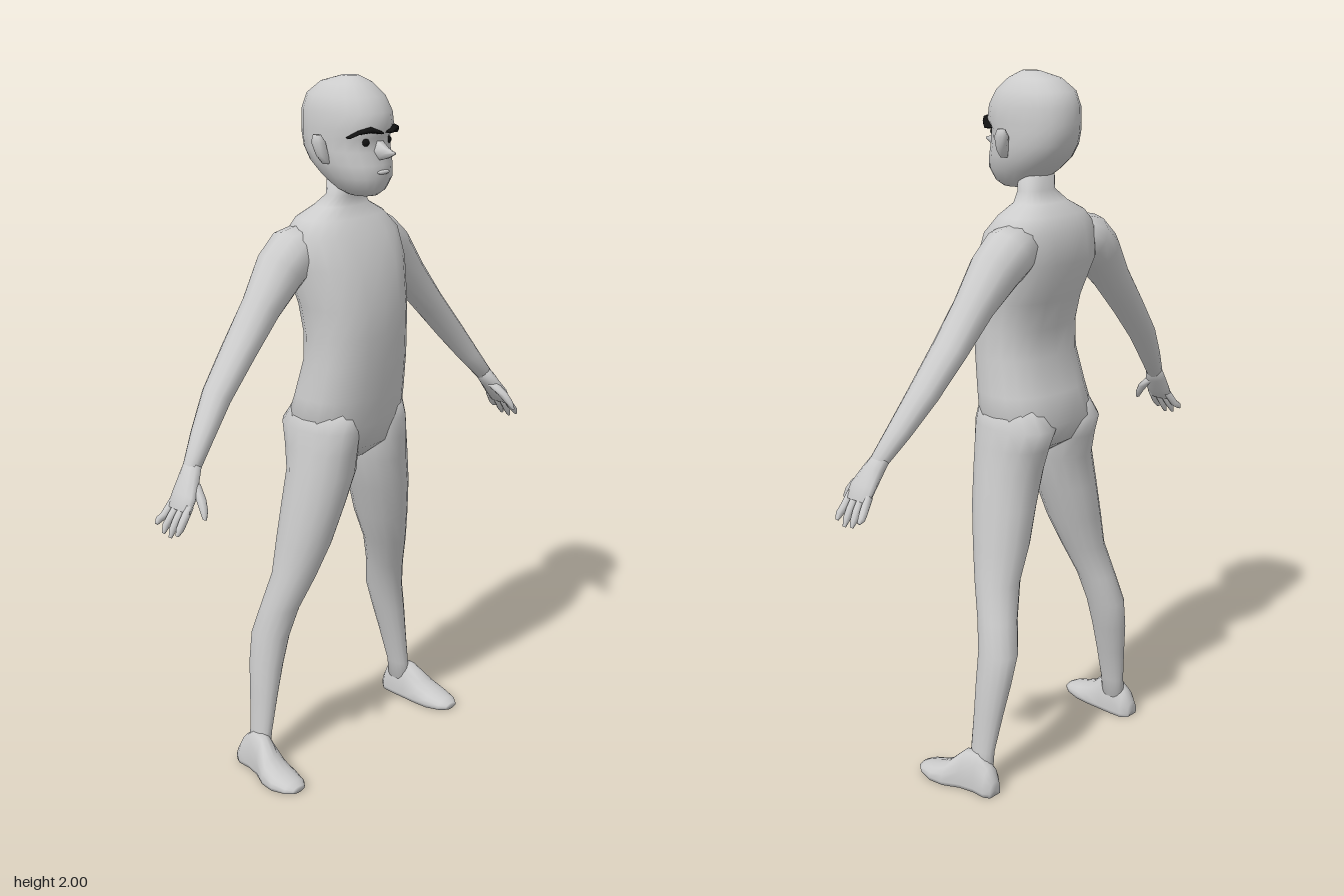
import * as THREE from 'three';

const V = (x, y, z) => new THREE.Vector3(x, y, z);
const skin = new THREE.MeshStandardMaterial({ color: 0xcccccc });
const black = new THREE.MeshStandardMaterial({ color: 0x111111 });

// Closed ring around c with half axes u and v; p > 2 makes it squarer
function ring(c, u, v, n = 16, p = 2) {
  return Array.from({ length: n }, (_, k) => {
    const a = (k / n) * Math.PI * 2, co = Math.cos(a), si = Math.sin(a);
    const f = t => Math.sign(t) * Math.pow(Math.abs(t), 2 / p);
    return c.clone().addScaledVector(u, f(co)).addScaledVector(v, f(si));
  });
}

// Horizontal ring from centre x, half width and front/back z
const level = (y, cx, hw, zf, zb, p = 2, n = 16) =>
  ring(V(cx, y, (zf + zb) / 2), V(hw, 0, 0), V(0, 0, (zf - zb) / 2), n, p);

// Skin a list of rings, capped at both ends, always facing outwards
function loft(rings) {
  const n = rings[0].length, pts = rings.flat(), idx = [];
  for (let i = 0; i < rings.length - 1; i++)
    for (let k = 0; k < n; k++) {
      const a = i * n + k, b = i * n + (k + 1) % n;
      idx.push(a, a + n, b, b, a + n, b + n);
    }
  [0, rings.length - 1].forEach(r => {
    const mid = rings[r].reduce((s, q) => s.add(q), V(0, 0, 0)).divideScalar(n);
    const m = pts.push(mid) - 1;
    for (let k = 0; k < n; k++) {
      const a = r * n + k, b = r * n + (k + 1) % n;
      r ? idx.push(m, b, a) : idx.push(m, a, b);
    }
  });
  let vol = 0;
  for (let i = 0; i < idx.length; i += 3)
    vol += pts[idx[i]].clone().sub(pts[0]).dot(
      pts[idx[i + 1]].clone().sub(pts[0]).cross(pts[idx[i + 2]].clone().sub(pts[0])));
  if (vol < 0) idx.reverse();
  const g = new THREE.BufferGeometry().setFromPoints(pts);
  g.setIndex(idx);
  g.computeVertexNormals();
  return g;
}

// Round limb through stations [x, y, z, radius in the xy plane, radius in z]
function limb(st, n = 12) {
  return loft(st.map(([x, y, z, r, rz], i) => {
    const a = st[Math.max(i - 1, 0)], b = st[Math.min(i + 1, st.length - 1)];
    const d = V(b[0] - a[0], b[1] - a[1], 0).normalize();
    return ring(V(x, y, z), V(-d.y * r, d.x * r, 0), V(0, 0, rz), n);
  }));
}

function mirrored(geo) {
  const g = geo.clone().scale(-1, 1, 1);
  g.setIndex(Array.from(g.index.array).reverse());
  g.computeVertexNormals();
  return g;
}

export function createModel() {
  const model = new THREE.Group();
  const add = (name, geo, mat = skin) => {
    const m = new THREE.Mesh(geo, mat);
    m.name = name;
    model.add(m);
  };
  const pair = (name, geo, mat) => {
    add('left ' + name, geo, mat);
    add('right ' + name, mirrored(geo), mat);
  };

  // Torso and neck: y, half width, front z, back z
  add('torso', loft([
    [0.935, 0.03, 0.035, -0.05], [0.98, 0.13, 0.085, -0.12], [1.05, 0.175, 0.105, -0.16],
    [1.13, 0.168, 0.115, -0.13], [1.23, 0.158, 0.127, -0.1], [1.31, 0.156, 0.13, -0.1],
    [1.39, 0.16, 0.13, -0.12], [1.5, 0.178, 0.11, -0.163], [1.58, 0.18, 0.07, -0.15],
    [1.625, 0.14, 0.04, -0.13], [1.655, 0.085, 0.015, -0.095], [1.685, 0.058, 0.015, -0.065],
    [1.74, 0.055, 0.02, -0.065],
  ].map(([y, w, f, b]) => level(y, 0, w, f, b, 2.4, 20))));

  // Head: chin, face with recessed eye line, brow, crown
  add('head', loft([
    [1.69, 0.035, 0.085, 0], [1.705, 0.058, 0.105, -0.035], [1.74, 0.082, 0.122, -0.085],
    [1.775, 0.094, 0.117, -0.125], [1.81, 0.1, 0.108, -0.145], [1.845, 0.1, 0.106, -0.153],
    [1.868, 0.101, 0.122, -0.155], [1.91, 0.1, 0.115, -0.153], [1.95, 0.088, 0.092, -0.138],
    [1.982, 0.06, 0.055, -0.095], [2, 0.02, 0.02, -0.03],
  ].map(([y, w, f, b]) => level(y, 0, w, f, b, 2.2, 20))));

  // Pointed nose and small mouth
  add('nose', loft([
    ring(V(0, 1.815, 0.095), V(0.025, 0, 0), V(0, 0.034, 0), 6),
    ring(V(0, 1.807, 0.13), V(0.014, 0, 0), V(0, 0.016, 0), 6),
    ring(V(0, 1.81, 0.16), V(0.003, 0, 0), V(0, 0.003, 0), 6),
  ]));
  add('mouth', new THREE.SphereGeometry(1, 10, 6).scale(0.024, 0.006, 0.008).translate(0, 1.757, 0.118));

  // Eyes, brows and ears
  pair('eye', new THREE.SphereGeometry(0.011, 10, 8).translate(0.042, 1.836, 0.092), black);
  pair('eyebrow', loft([
    [0.014, 1.862, 0.124, 0.004], [0.045, 1.871, 0.114, 0.008],
    [0.07, 1.864, 0.094, 0.006], [0.087, 1.85, 0.072, 0.002],
  ].map(([x, y, z, h]) => ring(V(x, y, z), V(0, h, 0), V(0.004, 0, 0.012), 6))));
  model.children.filter(m => m.name.endsWith('eyebrow')).forEach(m => { m.material = black; });
  pair('ear', loft([
    [1.778, 0.1, 0.01, 0.012, -0.008], [1.8, 0.11, 0.018, 0.014, -0.016],
    [1.835, 0.119, 0.017, 0.015, -0.028], [1.855, 0.122, 0.008, 0.005, -0.022],
  ].map(([y, cx, w, f, b]) => level(y, cx, w, f, b, 2, 8))));

  // Arms, from inside the shoulder to the wrist
  pair('arm', limb([
    [0.1, 1.565, -0.06, 0.055, 0.07], [0.16, 1.535, -0.066, 0.075, 0.077],
    [0.212, 1.495, -0.065, 0.07, 0.073], [0.288, 1.408, -0.058, 0.053, 0.058],
    [0.378, 1.304, -0.052, 0.042, 0.054], [0.465, 1.204, -0.042, 0.037, 0.046],
    [0.535, 1.115, -0.022, 0.03, 0.036], [0.59, 1.045, -0.003, 0.023, 0.026],
  ]));

  // Hands: palm, four fingers and thumb
  pair('palm', limb([
    [0.58, 1.058, -0.006, 0.022, 0.026], [0.603, 1.025, 0.004, 0.022, 0.034],
    [0.63, 0.985, 0.014, 0.019, 0.044], [0.652, 0.95, 0.016, 0.013, 0.044],
  ]));
  [[-0.018, -0.031, 0.91], [0.004, -0.003, 0.892], [0.026, 0.025, 0.888], [0.047, 0.053, 0.9]]
    .forEach(([z0, z1, y], i) => pair('finger ' + (i + 1), limb([
      [0.64, 0.967, z0, 0.011, 0.011], [0.667, 0.93, (z0 + z1) / 2, 0.011, 0.011],
      [0.68, (0.93 + y) / 2, z1, 0.01, 0.01], [0.69, y, z1, 0.004, 0.005],
    ], 8)));
  pair('thumb', limb([
    [0.602, 1.015, 0.02, 0.016, 0.02], [0.612, 0.985, 0.058, 0.013, 0.017],
    [0.62, 0.96, 0.078, 0.011, 0.013], [0.627, 0.938, 0.09, 0.005, 0.006],
  ], 8));

  // Legs: y, centre x, half width, front z, back z
  pair('leg', loft([
    [1.1, 0.09, 0.075, 0.09, -0.12], [1.04, 0.094, 0.088, 0.102, -0.162],
    [0.98, 0.1, 0.091, 0.096, -0.14], [0.91, 0.107, 0.096, 0.088, -0.12],
    [0.81, 0.134, 0.086, 0.074, -0.12], [0.7, 0.16, 0.077, 0.05, -0.12],
    [0.6, 0.19, 0.062, 0.022, -0.115], [0.5, 0.221, 0.054, -0.014, -0.135],
    [0.41, 0.242, 0.051, -0.034, -0.158], [0.32, 0.262, 0.045, -0.04, -0.151],
    [0.23, 0.278, 0.036, -0.043, -0.138], [0.12, 0.297, 0.026, -0.045, -0.124],
    [0.06, 0.305, 0.026, -0.045, -0.125],
  ].map(([y, cx, w, f, b]) => level(y, cx, w, f, b))));

  // Feet, heel to toe with flat soles: z, centre x, half width, top
  pair('foot', loft([
    [-0.15, 0.318, 0.022, 0.045], [-0.13, 0.315, 0.036, 0.085], [-0.09, 0.313, 0.036, 0.12],
    [-0.045, 0.318, 0.04, 0.115], [0.005, 0.33, 0.052, 0.068], [0.05, 0.334, 0.052, 0.046],
    [0.095, 0.334, 0.04, 0.032], [0.115, 0.334, 0.024, 0.022],
  ].map(([z, cx, w, top]) => {
    const r = ring(V(cx, 0.012, z), V(w, 0, 0), V(0, top - 0.012, 0), 16);
    r.forEach(q => { q.y = Math.max(0, q.y); });
    return r;
  })));

  return model;
}
